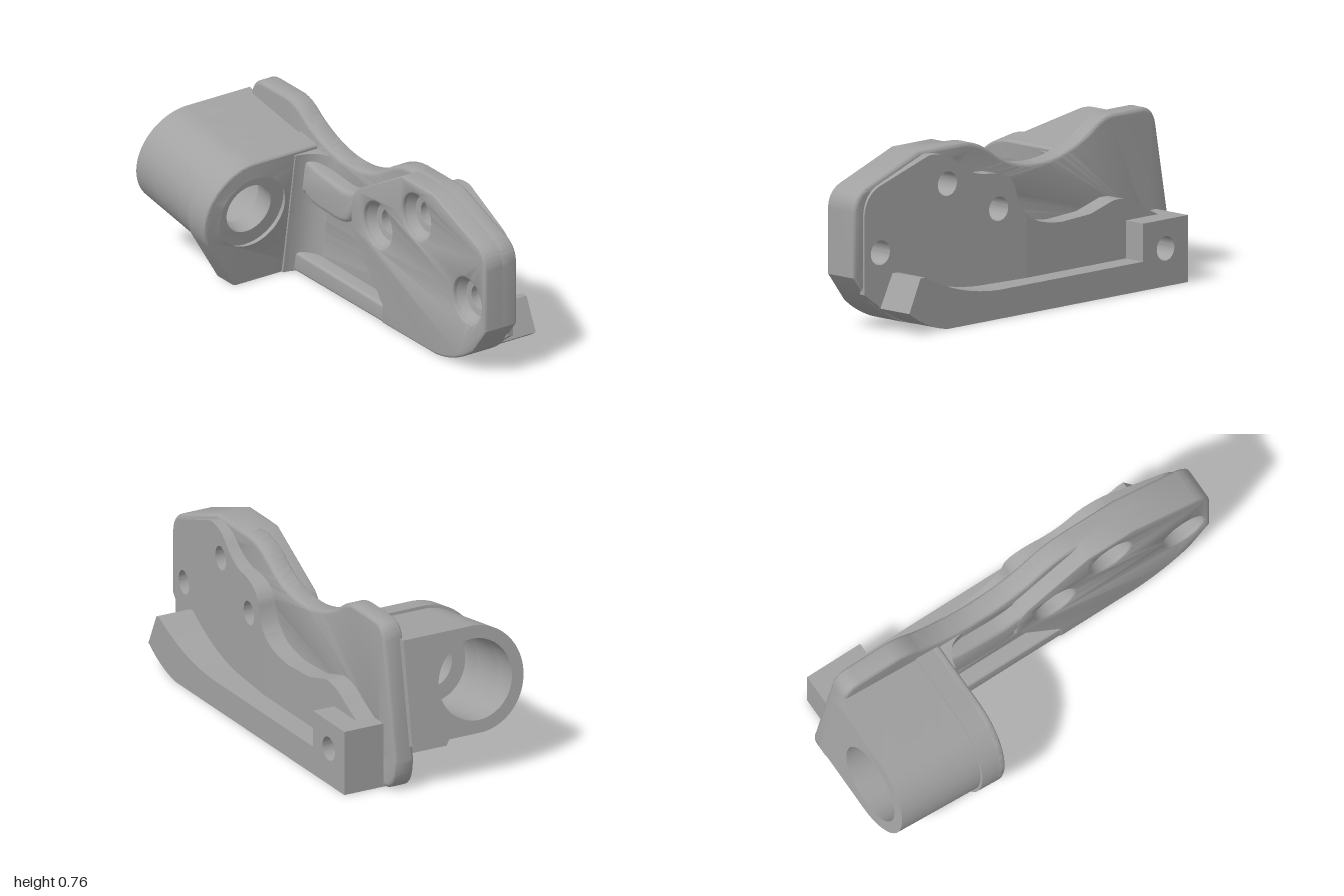
import * as THREE from 'three';
import { toCreasedNormals } from 'three/addons/utils/BufferGeometryUtils.js';

const metal = new THREE.MeshStandardMaterial({ color: 0xa2a2a2, side: THREE.DoubleSide });
metal.name = 'grey metal';

// Closed outline: [x, y] is a straight corner, [cx, cy, x, y] a rounded one.
function outline(points, holes = []) {
  const s = new THREE.Shape();
  points.forEach((p, i) => {
    if (i === 0) s.moveTo(p[0], p[1]);
    else if (p.length === 4) s.quadraticCurveTo(...p);
    else s.lineTo(p[0], p[1]);
  });
  for (const [x, y, r] of holes) {
    s.holes.push(new THREE.Path().absarc(x, y, r, 0, Math.PI * 2, true));
  }
  return s;
}

// Slab from z0 to z1 with optional rounded edges of radius b.
function slab(shape, z0, z1, b = 0) {
  const g = new THREE.ExtrudeGeometry(shape, {
    depth: z1 - z0 - 2 * b, curveSegments: 20, bevelEnabled: b > 0,
    bevelSize: b, bevelThickness: b, bevelOffset: -b, bevelSegments: 4,
  });
  g.translate(0, 0, z0 + b);
  return g;
}

function bend(g, rule) {
  const p = g.attributes.position;
  const v = new THREE.Vector3();
  for (let i = 0; i < p.count; i++) {
    rule(v.fromBufferAttribute(p, i));
    p.setXYZ(i, v.x, v.y, v.z);
  }
  return g;
}

export function createModel() {
  const model = new THREE.Group();
  model.name = 'bracket';
  const add = (name, g) => {
    const m = new THREE.Mesh(toCreasedNormals(g, 0.6), metal);
    m.name = name;
    model.add(m);
    return m;
  };

  const screws = [[0.18, 0.46], [0.475, 0.61], [0.86, 0.35]];
  const footHole = [-0.74, 0.17];
  const narrow = screws.map(([x, y]) => [x, y, 0.055]);
  const wide = screws.map(([x, y]) => [x, y, 0.107]);

  // Main plate with a saddle in its top edge
  add('mainPlate', slab(outline([
    [-0.87, 0], [0.62, 0], [0.78, 0.02, 0.9, 0.12], [1, 0.25], [1, 0.54],
    [1, 0.62, 0.92, 0.65], [0.6, 0.765], [0.34, 0.765], [0.24, 0.765, 0.15, 0.705],
    [0.02, 0.61, -0.15, 0.61], [-0.32, 0.61, -0.48, 0.71], [-0.55, 0.765, -0.62, 0.765],
    [-0.79, 0.765], [-0.87, 0.765, -0.885, 0.68], [-0.98, 0.15], [-0.98, 0, -0.87, 0],
  ], [...narrow, [...footHole, 0.09]]), -0.24, -0.14, 0.018));

  // Thick front pad around the three screws
  add('frontPad', slab(outline([
    [0.21, 0.09], [0.21, 0], [0.62, 0], [0.78, 0.02, 0.9, 0.12], [1, 0.25], [1, 0.54],
    [1, 0.62, 0.92, 0.65], [0.6, 0.765], [0.36, 0.765], [0.03, 0.58],
    [-0.02, 0.54, -0.02, 0.48], [-0.025, 0.38],
  ], wide), -0.235, -0.066, 0.012));

  // Rear pad: flat on the left, tapering thinner to the right
  add('rearPadLeft', slab(outline([
    [-0.87, 0], [0.02, 0], [0.02, 0.42], [-0.03, 0.36, -0.2, 0.35],
    [-0.38, 0.36], [-0.52, 0.4], [-0.6, 0.41, -0.68, 0.36], [-0.8, 0.3],
  ], [[...footHole, 0.055]]), -0.33, -0.22));
  add('rearPadRight', bend(slab(outline([
    [0.02, 0], [0.62, 0], [0.78, 0.02, 0.88, 0.12], [0.95, 0.17], [0.95, 0.53],
    [0.94, 0.62, 0.86, 0.65], [0.58, 0.75], [0.48, 0.755, 0.42, 0.7],
    [0.34, 0.63, 0.25, 0.625], [0.1, 0.62, 0.08, 0.53], [0.06, 0.45, 0.02, 0.42],
  ], narrow), -0.33, -0.22), (v) => {
    if (v.z < -0.3) v.z = -0.33 + 0.086 * (v.x - 0.02);
  }));

  // Rear bottom rail with its upturned tip and the screw block
  add('rearRail', slab(outline([
    [-0.88, 0], [0.62, 0], [0.75, 0.02, 0.86, 0.1], [0.79, 0.25], [0.76, 0.25],
    [0.55, 0.14, 0.3, 0.13], [-0.6, 0.13], [-0.6, 0.3], [-0.88, 0.3],
  ], [[...footHole, 0.055]]), -0.437, -0.23));

  // Bottom lip and middle rib on the front
  add('bottomLip', slab(outline([
    [-0.5, 0], [0.3, 0], [0.3, 0.085], [-0.5, 0.095],
  ]), -0.2, -0.07, 0.015));
  add('middleRib', slab(outline([
    [-0.48, 0.37], [-0.38, 0.4], [-0.36, 0.365, -0.2, 0.365], [-0.07, 0.355, -0.04, 0.4],
    [0.02, 0.48], [0.02, 0.56], [-0.05, 0.525, -0.12, 0.53], [-0.3, 0.545], [-0.38, 0.57], [-0.48, 0.57],
  ]), -0.19, -0.068, 0.025));

  // Countersunk screw seats
  const seat = (name, x, y, profile) => {
    const g = new THREE.LatheGeometry(profile.map((p) => new THREE.Vector2(...p)), 40);
    g.rotateX(Math.PI / 2);
    g.translate(x, y, 0);
    add(name, g);
  };
  screws.forEach(([x, y], i) => seat('screwSeat' + (i + 1), x, y,
    [[0.119, -0.066], [0.085, -0.125], [0.055, -0.13], [0.055, -0.24]]));
  seat('footScrewSeat', ...footHole,
    [[0.108, -0.141], [0.085, -0.19], [0.055, -0.195], [0.055, -0.33]]);

  // Tilted barrel: sections drawn in (z, y) about the bore, stacked along its axis
  const section = (r, end, tail, bore) => {
    const s = new THREE.Shape();
    s.moveTo(-0.34, r);
    s.lineTo(0, r);
    s.absarc(0, 0, r, Math.PI / 2, end, true);
    tail.forEach((p) => s.lineTo(...p));
    s.holes.push(new THREE.Path().absarc(0, 0, bore, 0, Math.PI * 2, true));
    return s;
  };
  const barrel = (name, shape, from, to, b = 0) => {
    const g = slab(shape, from, to, b);
    g.rotateY(-Math.PI / 2);
    g.rotateZ(-0.16);
    g.translate(-0.42, 0.365, 0.18);
    add(name, bend(g, (v) => { v.y = Math.max(v.y, 0); }));
  };
  const collarTail = [[0.055, -0.4], [-0.34, -0.4]];
  const collar = (bore) => section(0.257, -0.49, collarTail, bore);
  barrel('collarFace', collar(0.187), 0, 0.045, 0.012);
  barrel('collarWeb', collar(0.118), 0.03, 0.125);

  const body = section(0.243, -Math.PI / 2, [[-0.34, -0.243]], 0.185);
  const low = -Math.asin(0.192 / 0.243);
  const notched = section(0.243, low, [[-0.13, -0.192], [-0.2, -0.13], [-0.34, -0.13]], 0.185);
  barrel('barrelInner', body, 0.12, 0.23);
  barrel('barrelNotch', notched, 0.23, 0.42);
  barrel('barrelOuter', body, 0.42, 0.545);

  // Concave fillet joining collar and plate
  const fillet = slab(outline([
    [-0.06, 0.2], [0.12, 0.2], [0.12, 0.14], [0.02, 0.13, 0.005, 0.02], [-0.06, 0.02],
  ]), 0, 0.6);
  fillet.rotateX(-Math.PI / 2);
  add('collarFillet', bend(fillet, (v) => {
    v.x += -0.475 + 0.16 * v.y;
  }));

  return model;
}
